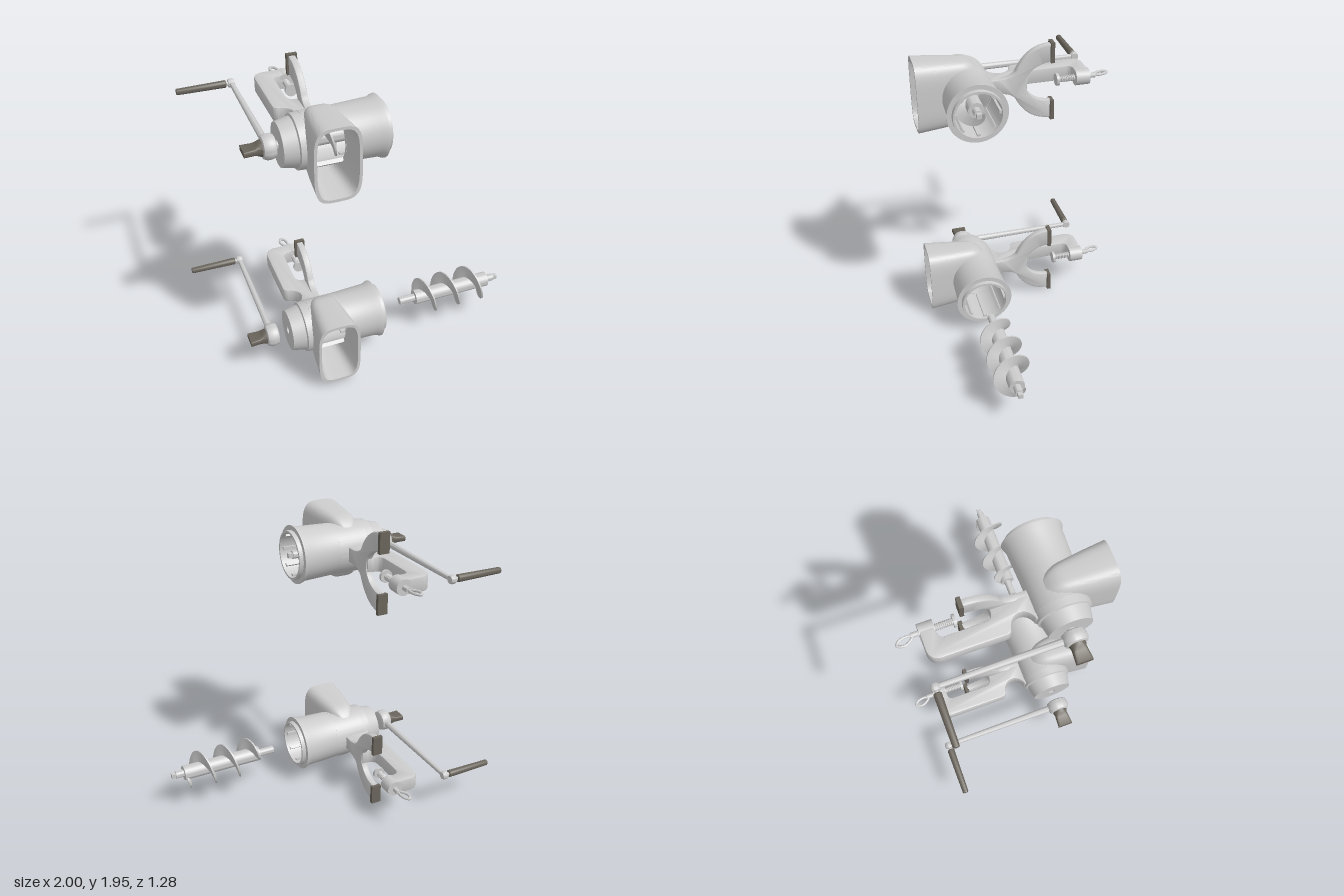
import * as THREE from 'three';
import { toCreasedNormals } from 'three/addons/utils/BufferGeometryUtils.js';

const grey = new THREE.MeshStandardMaterial({ color: 0xcccccc, side: THREE.DoubleSide });
const dark = new THREE.MeshStandardMaterial({ color: 0x6a655c, side: THREE.DoubleSide });

function add(group, name, geometry, material = grey, position = [0, 0, 0]) {
  const mesh = new THREE.Mesh(toCreasedNormals(geometry, 0.6), material);
  mesh.name = name;
  mesh.position.set(...position);
  group.add(mesh);
  return mesh;
}

// Surface of revolution about the x axis, profile as [radius, x]
function turned(profile, segments = 48) {
  const points = profile.map(([r, x]) => new THREE.Vector2(r, x));
  return new THREE.LatheGeometry(points, segments).rotateZ(-Math.PI / 2);
}

// Skin over rows of points of equal length
function loft(rows, closed = true) {
  const n = rows[0].length, index = [];
  for (let i = 0; i < rows.length - 1; i++) {
    for (let j = 0; j < (closed ? n : n - 1); j++) {
      const a = i * n + j, b = i * n + (j + 1) % n;
      index.push(a, b, a + n, b, b + n, a + n);
    }
  }
  const g = new THREE.BufferGeometry();
  g.setAttribute('position', new THREE.Float32BufferAttribute(rows.flat(2), 3));
  g.setIndex(index);
  g.computeVertexNormals();
  return g;
}

// Unit outline between a circle (power 2) and a square
function outline(count, power) {
  return Array.from({ length: count }, (_, i) => {
    const a = (i / count) * Math.PI * 2;
    return [Math.cos(a), Math.sin(a)].map(v => Math.sign(v) * Math.abs(v) ** (2 / power));
  });
}

// Linear interpolation in a table of [z, halfWidth, halfHeight]
function sample(table, z) {
  let i = 0;
  while (i < table.length - 2 && z < table[i + 1][0]) i++;
  const [p, q] = [table[i], table[i + 1]];
  const t = (z - p[0]) / (q[0] - p[0]);
  return [p[1] + (q[1] - p[1]) * t, p[2] + (q[2] - p[2]) * t];
}

// Funnel running from its rim back to where it meets the barrel
function hopperGeometry() {
  const table = [[0.64, 0.14, 0.235], [0.48, 0.124, 0.223], [0.36, 0.108, 0.213], [0.32, 0.1, 0.207],
    [0.285, 0.086, 0.192], [0.26, 0.07, 0.172], [0.24, 0.05, 0.152], [0.22, 0.03, 0.12]];
  const ring = outline(72, 4), steps = 20;
  const at = (c, s, z, inset) => {
    const [w, h] = sample(table, z);
    return [-0.295 + c * (w - inset), s * (h - inset), z];
  };
  const end = ([c, s], inset) => {
    let z = 0.64;
    while (z > 0.22) {
      const y = at(c, s, z, inset)[1];
      if (Math.hypot(y, z - 0.315) < 0.166) break;
      z -= 0.003;
    }
    return z;
  };
  const wall = inset => {
    const ends = ring.map(p => end(p, inset));
    return Array.from({ length: steps + 1 }, (_, i) =>
      ring.map(([c, s], j) => at(c, s, 0.64 + (ends[j] - 0.64) * (i / steps), inset)));
  };
  return loft([...wall(0.018).reverse(), ...wall(0)]);
}

function createBody() {
  const g = new THREE.Group();
  g.name = 'body';
  add(g, 'barrelBack', turned([[0.025, -0.54], [0.133, -0.54], [0.15, -0.455], [0.164, -0.45], [0.167, -0.4],
    [0.142, -0.4], [0.138, -0.5], [0.025, -0.5], [0.025, -0.54]]));
  add(g, 'barrelFront', turned([[0.168, -0.19], [0.177, 0.03], [0.19, 0.06], [0.19, 0.068], [0.16, 0.068],
    [0.158, 0.095], [0.145, 0.095], [0.145, -0.19], [0.168, -0.19]]));
  // Middle of the barrel, open toward the hopper
  const arc = new THREE.Shape();
  arc.absarc(0, 0, 0.168, -Math.PI + 0.75, Math.PI - 0.75, false);
  arc.absarc(0, 0, 0.143, Math.PI - 0.75, -Math.PI + 0.75, true);
  add(g, 'barrelMiddle', new THREE.ExtrudeGeometry(arc, { depth: 0.21, bevelEnabled: false, curveSegments: 48 })
    .rotateY(Math.PI / 2), grey, [-0.4, 0, 0]);
  for (let i = 0; i < 8; i++) {
    const rib = new THREE.BoxGeometry(0.25, 0.016, 0.022).translate(-0.05, 0.138, 0).rotateX(i * Math.PI / 4);
    add(g, 'innerRib', rib);
  }
  g.children.forEach(m => { m.position.z = 0.315; });
  add(g, 'hopper', hopperGeometry());
  return g;
}

function createClamp() {
  const g = new THREE.Group();
  g.name = 'clamp';
  const bevel = { bevelEnabled: true, bevelThickness: 0.01, bevelSize: 0.01, bevelOffset: -0.01, bevelSegments: 2, curveSegments: 24 };
  // Forked yoke, drawn in z and y
  const fork = new THREE.Shape();
  fork.moveTo(0.18, 0.05).lineTo(0.1, 0.05).quadraticCurveTo(0.03, 0.055, 0, 0.09);
  fork.quadraticCurveTo(-0.08, 0.255, -0.235, 0.255).lineTo(-0.235, 0.13);
  fork.absellipse(-0.235, 0, 0.165, 0.13, Math.PI / 2, -Math.PI / 2, true);
  fork.lineTo(-0.235, -0.255).quadraticCurveTo(-0.08, -0.255, 0, -0.09);
  fork.quadraticCurveTo(0.03, -0.055, 0.1, -0.05).lineTo(0.18, -0.05);
  add(g, 'yoke', new THREE.ExtrudeGeometry(fork, { ...bevel, depth: 0.025 }).rotateY(-Math.PI / 2), grey, [-0.26, 0, 0]);
  for (const s of [-1, 1]) add(g, 'pad', new THREE.BoxGeometry(0.068, 0.135, 0.025), dark, [-0.272, s * 0.1975, -0.243]);
  // C-shaped bracket, drawn in x and z
  const c = new THREE.Shape();
  c.moveTo(-0.26, 0.18).lineTo(-0.26, -0.08).lineTo(-0.3, -0.08).quadraticCurveTo(-0.35, -0.08, -0.35, -0.13);
  c.lineTo(-0.35, -0.36).quadraticCurveTo(-0.35, -0.4, -0.31, -0.4).lineTo(-0.27, -0.4).lineTo(-0.27, -0.49);
  c.lineTo(-0.4, -0.49).quadraticCurveTo(-0.465, -0.48, -0.465, -0.41).lineTo(-0.465, -0.03);
  c.quadraticCurveTo(-0.46, -0.005, -0.43, 0).bezierCurveTo(-0.345, 0.02, -0.345, 0.12, -0.43, 0.145).lineTo(-0.45, 0.18);
  add(g, 'bracket', new THREE.ExtrudeGeometry(c, { ...bevel, depth: 0.08 }).rotateX(Math.PI / 2), grey, [0, 0.04, 0]);
  // Clamping screw along z
  const rod = (name, r, z0, z1) => add(g, name,
    new THREE.CylinderGeometry(r, r, z1 - z0, 28).rotateX(Math.PI / 2), grey, [-0.27, 0, (z0 + z1) / 2]);
  rod('screwBoss', 0.052, -0.492, -0.4);
  rod('screw', 0.016, -0.54, -0.28);
  rod('screwDisc', 0.04, -0.29, -0.272);
  for (let i = 0; i < 9; i++) {
    add(g, 'thread', new THREE.TorusGeometry(0.017, 0.005, 6, 20), grey, [-0.27, 0, -0.39 + i * 0.0115]);
  }
  const loop = new THREE.CatmullRomCurve3([[-0.278, -0.53], [-0.315, -0.583], [-0.3, -0.63], [-0.275, -0.605], [-0.268, -0.55]]
    .map(([x, z]) => new THREE.Vector3(x, 0, z)), true);
  add(g, 'thumbLoop', new THREE.TubeGeometry(loop, 40, 0.009, 8, true));
  return g;
}

function createHandle() {
  const g = new THREE.Group();
  g.name = 'handle';
  add(g, 'hub', turned([[0, -0.692], [0.045, -0.692], [0.066, -0.685], [0.075, -0.665], [0.075, -0.64],
    [0.069, -0.617], [0.055, -0.61], [0, -0.61]]), grey, [0, 0, 0.315]);
  add(g, 'arm', new THREE.CylinderGeometry(0.023, 0.016, 0.79, 24).rotateX(Math.PI / 2), grey, [-0.65, 0, -0.11]);
  add(g, 'armEye', turned([[0, -0.672], [0.024, -0.672], [0.029, -0.66], [0.029, -0.645], [0.024, -0.632], [0, -0.632]], 28),
    grey, [0, 0, -0.505]);
  add(g, 'grip', turned([[0, -1], [0.017, -1], [0.02, -0.994], [0.024, -0.69], [0.02, -0.685], [0, -0.685]], 28),
    dark, [0, 0, -0.505]);
  add(g, 'gripPin', turned([[0.012, -0.69], [0.012, -0.66]], 16), grey, [0, 0, -0.505]);
  // Thumb screw flattening from a round base into a wing: x, half height, half width, squareness
  const rows = [[-0.685, 0.052, 0.052, 2], [-0.7, 0.048, 0.048, 2], [-0.715, 0.035, 0.044, 3],
    [-0.735, 0.021, 0.045, 6], [-0.8, 0.017, 0.05, 10], [-0.8, 0, 0, 10]]
    .map(([x, h, w, p]) => outline(40, p).map(([a, b]) => [x, a * h, 0.315 + b * w]));
  add(g, 'wingScrew', loft(rows), dark);
  return g;
}

function createAuger() {
  const g = new THREE.Group();
  g.name = 'auger';
  add(g, 'shaft', turned([[0, 0.255], [0.025, 0.255], [0.025, 0.365], [0.05, 0.365], [0.05, 0.915],
    [0.025, 0.915], [0.025, 0.97], [0, 0.97]], 36));
  add(g, 'squarePin', new THREE.BoxGeometry(0.04, 0.03, 0.03), grey, [0.98, 0, 0]);
  // Spiral blade, wedge-shaped in section and fading out at both ends
  const rows = [], steps = 180, x0 = 0.375, x1 = 0.905;
  for (let i = 0; i <= steps; i++) {
    const x = x0 + (x1 - x0) * i / steps, a = (x - 0.43) / 0.176 * Math.PI * 2;
    const fade = Math.sin(Math.min(1, (x - x0) / 0.045, (x1 - x) / 0.04) * Math.PI / 2);
    const R = 0.045 + 0.081 * fade;
    rows.push([[-0.014, 0.045], [-0.005, R], [0.005, R], [0.014, 0.045]]
      .map(([d, r]) => [x + d, r * Math.cos(a), r * Math.sin(a)]));
  }
  add(g, 'blade', loft(rows, false));
  g.position.z = 0.315;
  return g;
}

// One grinder; the offsets slide the handle and the auger along the axis
function createGrinder(name, y, handleShift, augerShift) {
  const g = new THREE.Group();
  g.name = name;
  const handle = createHandle(), auger = createAuger();
  handle.position.x = handleShift;
  auger.position.x = augerShift;
  g.add(createBody(), createClamp(), handle, auger);
  g.position.y = y;
  return g;
}

export function createModel() {
  const model = new THREE.Group();
  model.name = 'meatGrinders';
  model.add(createGrinder('explodedGrinder', 0.265, 0, 0), createGrinder('assembledGrinder', 1.687, 0.055, -0.895));
  return model;
}
